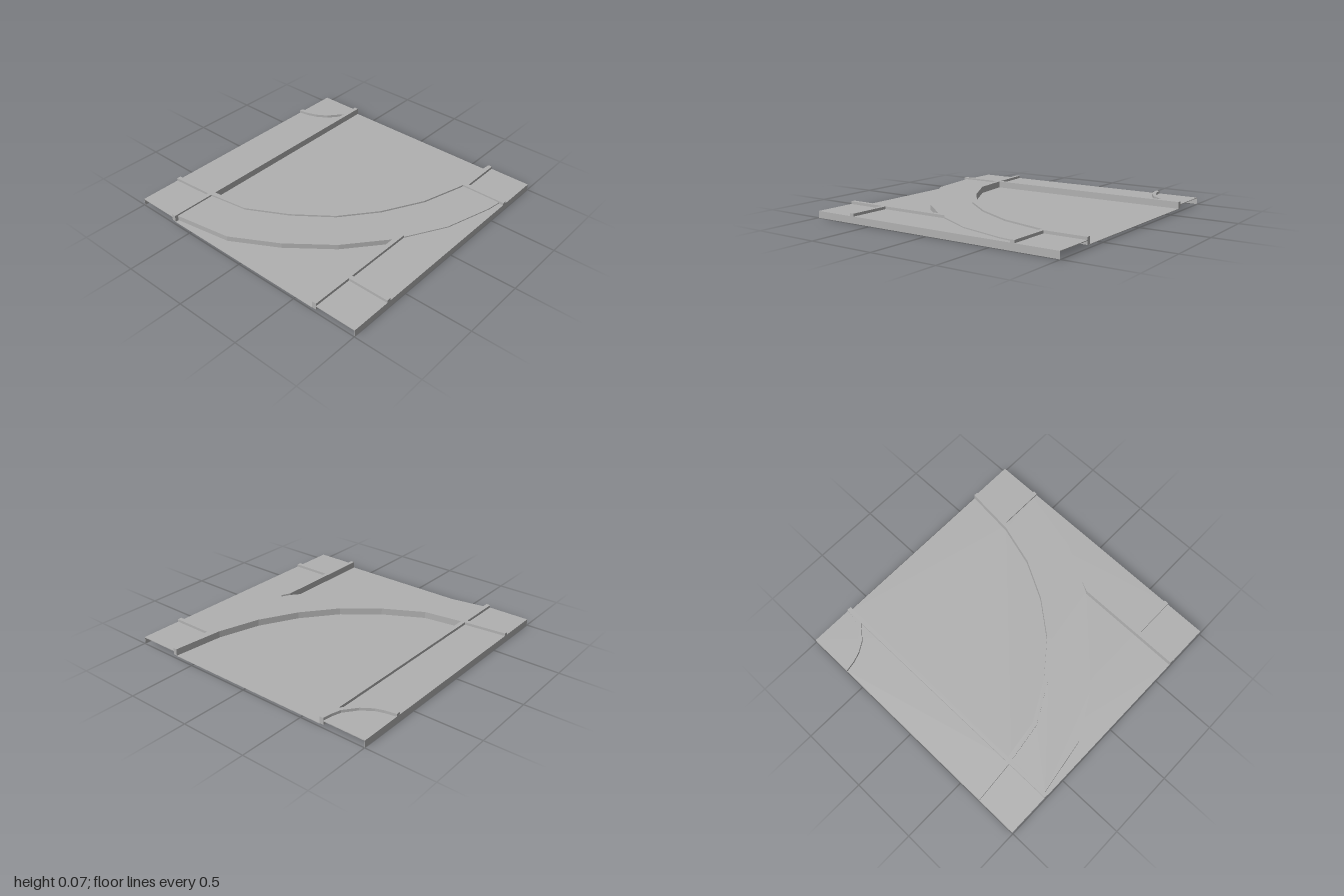
import * as THREE from 'three';

export function createModel() {
  const group = new THREE.Group();
  group.name = 'floorTile';
  const grey = new THREE.MeshStandardMaterial({ color: 0xb0b0b0, side: THREE.DoubleSide });
  grey.name = 'stone grey';

  const W = 0.995, FLOOR = 0.02, STRIP = 0.05, ROAD = 0.058, CURB = 0.07;

  // Flat slab from an outline of [x, z] points, between two heights
  function slab(name, points, y0, y1) {
    const shape = new THREE.Shape(points.map(([x, z]) => new THREE.Vector2(x, -z)));
    const geo = new THREE.ExtrudeGeometry(shape, { depth: y1 - y0, bevelEnabled: false });
    geo.rotateX(-Math.PI / 2);
    geo.translate(0, y0, 0);
    const mesh = new THREE.Mesh(geo, grey);
    mesh.name = name;
    group.add(mesh);
  }
  const rect = (x0, x1, z0, z1) => [[x0, z0], [x1, z0], [x1, z1], [x0, z1]];

  // Sunken floor, notched at the four corners
  const f = 0.655;
  slab('floor', [[-W, -f], [-f, -f], [-f, -1], [f, -1], [f, -f], [W, -f],
    [W, f], [f, f], [f, 1], [-f, 1], [-f, f], [-W, f]], FLOOR - 0.004, FLOOR);

  // Raised strips along the back and front
  slab('backStrip', rect(-f, f, -1, -0.655), FLOOR, STRIP);
  slab('frontStrip', rect(-f, f, 0.67, 1), FLOOR, STRIP);

  // Thin corner plates, open underneath
  for (const sx of [-1, 1]) for (const sz of [-1, 1]) {
    const xs = [sx * f, sx * W].sort((a, b) => a - b);
    const zs = [sz * f, sz].sort((a, b) => a - b);
    slab('cornerPlate', rect(...xs, ...zs), STRIP - 0.005, STRIP);
  }

  // Hanging skirts on the back and front edges
  slab('backSkirt', rect(-W, W, -1, -0.997), 0, STRIP);
  slab('frontSkirt', rect(-W, W, 0.997, 1), 0, STRIP);

  // Curved kerb and the curved path outside it
  const inner = [[-0.655, -1], [-0.625, -0.68], [-0.62, -0.65], [-0.58, -0.36], [-0.42, -0.07],
    [-0.22, 0.18], [0.03, 0.38], [0.31, 0.53], [0.62, 0.62], [W, 0.655]];
  const outer = [[-0.685, -1], [-0.66, -0.68], [-0.655, -0.65], [-0.61, -0.35], [-0.45, -0.06],
    [-0.25, 0.2], [0, 0.4], [0.3, 0.56], [0.62, 0.65], [0.65, 0.655]];
  const pathEdge = [[-0.97, -0.65], [-0.9, -0.22], [-0.71, 0.11], [-0.47, 0.41], [-0.18, 0.65],
    [-0.11, 0.69], [0.18, 0.85], [0.54, 0.95], [0.65, 0.965]];
  slab('curvedKerb', [...inner, [W, 0.685], [0.65, 0.685], ...[...outer].reverse()], FLOOR, CURB);
  slab('curvedPath', [...outer.slice(2), ...[...pathEdge].reverse()], FLOOR, ROAD);

  // Straight kerbs
  slab('backKerb', rect(-W, W, -0.682, -0.65), FLOOR, CURB);
  slab('frontKerb', [[-W, 0.655], [-0.18, 0.655], [-0.11, 0.688], [-W, 0.688]], FLOOR, CURB);
  slab('frontRightKerb', rect(-0.685, -0.652, 0.67, 1), STRIP - 0.005, CURB);
  slab('frontLeftKerb', rect(0.65, 0.682, 0.655, 1), STRIP - 0.005, CURB);

  // Small curved kerb in the back corner
  slab('cornerKerb', [[0.65, -1], [0.665, -0.92], [0.69, -0.85], [0.74, -0.77], [0.85, -0.68], [W, -0.68],
    [0.93, -0.69], [0.86, -0.71], [0.77, -0.78], [0.715, -0.86], [0.695, -0.92], [0.68, -1]],
  STRIP - 0.008, CURB);

  return group;
}
